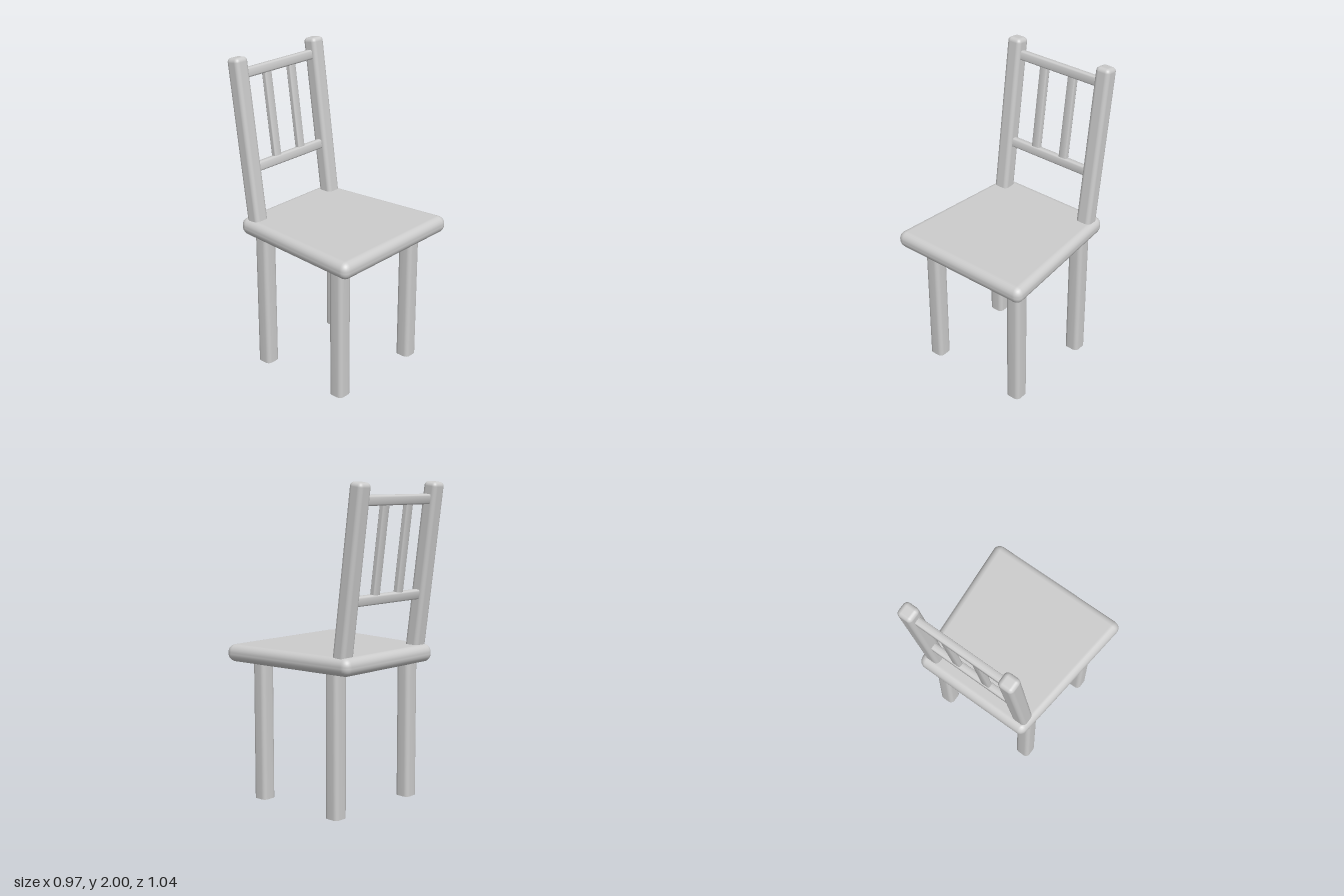
import * as THREE from 'three';
import { toCreasedNormals } from 'three/addons/utils/BufferGeometryUtils.js';
import { RoundedBoxGeometry } from 'three/addons/geometries/RoundedBoxGeometry.js';

const material = new THREE.MeshStandardMaterial({ color: 0xcccccc });
material.name = 'light grey';

// Bar along z with rounded corners, centred on the origin
function barGeometry(w, h, length, r, segments) {
  const s = new THREE.Shape();
  const x = w / 2 - r, y = h / 2 - r;
  s.absarc(x, y, r, 0, Math.PI / 2);
  s.absarc(-x, y, r, Math.PI / 2, Math.PI);
  s.absarc(-x, -y, r, Math.PI, Math.PI * 1.5);
  s.absarc(x, -y, r, Math.PI * 1.5, Math.PI * 2);
  const g = new THREE.ExtrudeGeometry(s, { depth: length, bevelEnabled: false, curveSegments: segments });
  g.translate(0, 0, -length / 2);
  return toCreasedNormals(g, 0.9);
}

function add(parent, name, geometry, x, y, z) {
  const mesh = new THREE.Mesh(geometry, material);
  mesh.name = name;
  mesh.position.set(x, y, z);
  parent.add(mesh);
  return mesh;
}

export function createModel() {
  const chair = new THREE.Group();
  chair.name = 'chair';

  // Seat: rounded slab, narrower toward the back
  const seat = new RoundedBoxGeometry(0.97, 0.11, 0.955, 3, 0.05);
  seat.translate(0, 0, 0.0425);
  const p = seat.attributes.position;
  for (let i = 0; i < p.count; i++) {
    p.setX(i, p.getX(i) * (1 - 0.196 * (0.46 - p.getZ(i))));
  }
  add(chair, 'seat', seat, 0, 0.935, 0);

  // Legs
  const leg = barGeometry(0.1, 0.1, 0.9, 0.028, 3).rotateX(Math.PI / 2);
  for (const [side, x] of [['left', 0.33], ['right', -0.33]]) {
    add(chair, side + 'FrontLeg', leg, x, 0.45, 0.34);
    add(chair, side + 'BackLeg', leg, x, 0.45, -0.28);
  }

  // Backrest, built upright and leaned back
  const back = new THREE.Group();
  back.name = 'backrest';
  back.position.set(0, 0.98, -0.34);
  back.rotation.x = -0.133;
  chair.add(back);

  const post = new RoundedBoxGeometry(0.1, 1.076, 0.096, 3, 0.027);
  const slat = barGeometry(0.058, 0.034, 0.56, 0.008, 1).rotateX(Math.PI / 2);
  for (const [side, s] of [['left', 1], ['right', -1]]) {
    add(back, side + 'Post', post, s * 0.335, 0.488, 0);
    add(back, side + 'Slat', slat, s * 0.107, 0.627, 0);
  }
  const rail = barGeometry(0.046, 0.06, 0.6, 0.011, 1).rotateY(Math.PI / 2);
  add(back, 'topRail', rail, 0, 0.921, 0);
  add(back, 'lowerRail', rail, 0, 0.333, 0);

  return chair;
}
